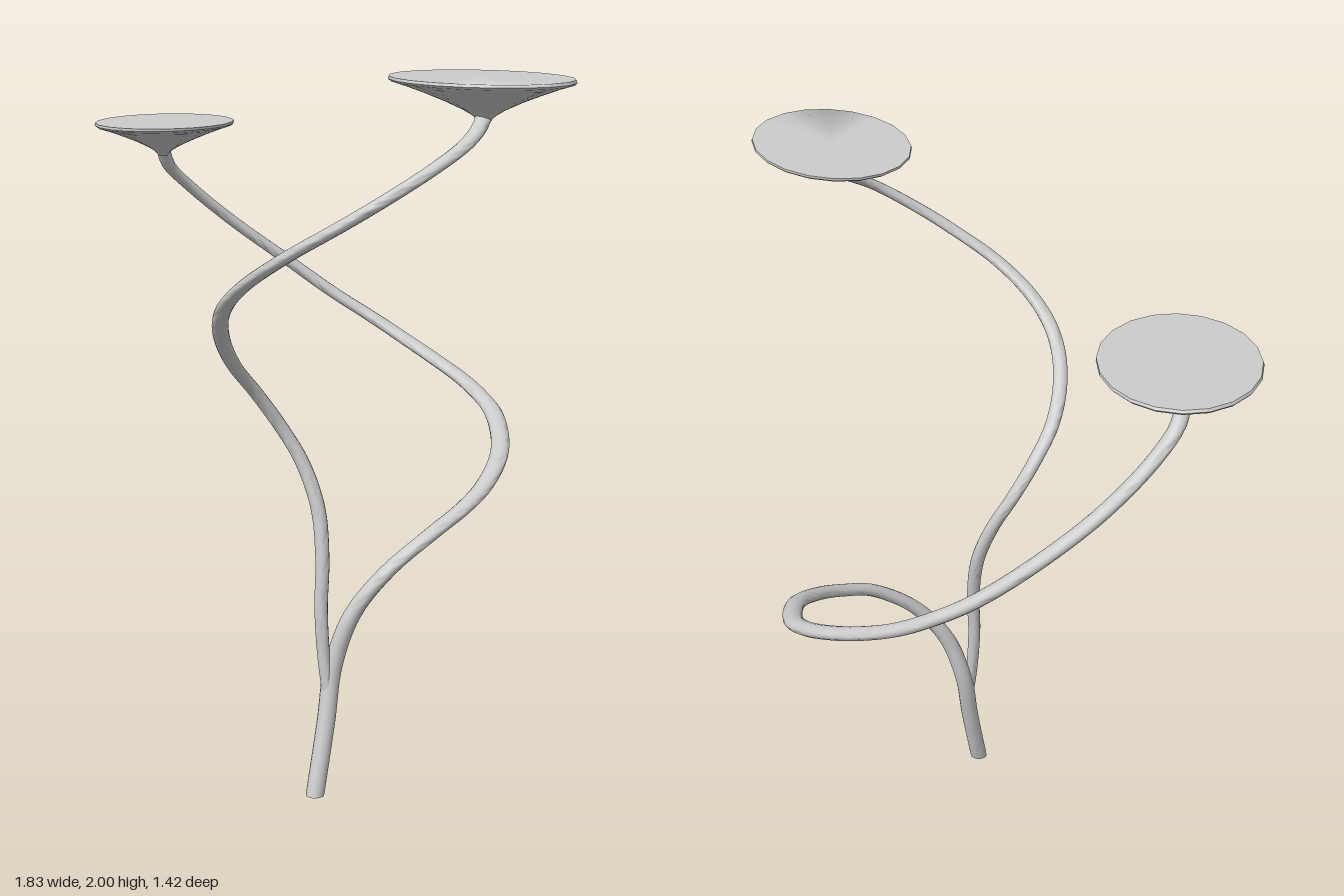
import * as THREE from 'three';
import { toCreasedNormals } from 'three/addons/utils/BufferGeometryUtils.js';

const material = new THREE.MeshStandardMaterial({ color: 0xcccccc });

// Tendril swept along a smooth curve, flattened vertically; radii are spread along its length
function tendril(name, points, radii) {
  const n = 120, sides = 14;
  const curve = new THREE.CatmullRomCurve3(points.map(p => new THREE.Vector3(...p)), false, 'centripetal');
  const { normals, binormals } = curve.computeFrenetFrames(n);
  const geo = new THREE.TubeGeometry(curve, n, 1, sides);
  const pos = geo.attributes.position;
  const off = new THREE.Vector3();
  for (let i = 0; i <= n; i++) {
    const c = curve.getPointAt(i / n);
    const t = (i / n) * (radii.length - 1);
    const k = Math.min(Math.floor(t), radii.length - 2);
    const r = THREE.MathUtils.lerp(radii[k], radii[k + 1], t - k);
    for (let j = 0; j <= sides; j++) {
      const a = (j / sides) * Math.PI * 2;
      off.set(0, 0, 0)
        .addScaledVector(normals[i], -Math.cos(a) * r)
        .addScaledVector(binormals[i], Math.sin(a) * r);
      off.y *= i === 0 ? 0 : 0.6; // first ring is cut level
      pos.setXYZ(i * (sides + 1) + j, c.x + off.x, c.y + off.y, c.z + off.z);
    }
  }
  const mesh = new THREE.Mesh(toCreasedNormals(geo, 1.2), material);
  mesh.name = name;
  return mesh;
}

// Flat-topped oval cap with a flared underside leaning towards its stem
function cap(name, [x, y, z], [a, b], angle, [nx, nz]) {
  const profile = [
    [0.06, -0.108], [0.085, -0.1], [0.13, -0.091], [0.22, -0.079], [0.4, -0.06],
    [0.62, -0.04], [0.84, -0.022], [0.97, -0.013], [1, -0.007], [0.992, 0], [0, 0],
  ].map(p => new THREE.Vector2(...p));
  const geo = new THREE.LatheGeometry(profile, 20);
  geo.scale(a, 1, b).rotateY(-angle);
  const pos = geo.attributes.position;
  for (let i = 0; i < pos.count; i++) {
    const h = Math.min(1, -pos.getY(i) / 0.1);
    pos.setX(i, pos.getX(i) + h * (nx - x));
    pos.setZ(i, pos.getZ(i) + h * (nz - z));
  }
  const mesh = new THREE.Mesh(toCreasedNormals(geo, 0.9), material);
  mesh.position.set(x, y, z);
  mesh.name = name;
  return mesh;
}

export function createModel() {
  const group = new THREE.Group();
  group.name = 'twinTendrilPlant';

  // main stem, sweeping round the back to the lower cap
  group.add(tendril('mainStem', [
    [0.165, 0, 0.335], [0.165, 0.2, 0.275], [0.167, 0.35, 0.24], [0.21, 0.5, 0.21],
    [0.285, 0.62, 0.15], [0.365, 0.715, 0.04], [0.402, 0.767, -0.08], [0.412, 0.81, -0.19],
    [0.38, 0.872, -0.35], [0.27, 0.938, -0.53], [0.19, 0.974, -0.595], [0.1, 1.012, -0.639],
    [-0.02, 1.06, -0.671], [-0.15, 1.118, -0.686], [-0.25, 1.172, -0.676], [-0.36, 1.24, -0.64],
    [-0.5, 1.355, -0.56], [-0.62, 1.475, -0.45], [-0.7, 1.59, -0.335], [-0.725, 1.66, -0.26],
    [-0.717, 1.72, -0.218],
  ], [0.026, 0.026, 0.028, 0.025, 0.021]));

  // side stem, emerging from the main stem and curling round the front to the upper cap
  group.add(tendril('sideStem', [
    [0.165, 0.27, 0.262], [0.15, 0.38, 0.262], [0.14, 0.52, 0.26], [0.135, 0.66, 0.245],
    [0.11, 0.8, 0.228], [0.06, 0.925, 0.23], [0.01, 1.02, 0.255], [-0.03, 1.125, 0.32],
    [-0.043, 1.217, 0.41], [-0.015, 1.315, 0.51], [0.05, 1.4, 0.598], [0.15, 1.478, 0.66],
    [0.29, 1.564, 0.687], [0.45, 1.658, 0.66], [0.55, 1.725, 0.615], [0.635, 1.795, 0.54],
    [0.67, 1.85, 0.44], [0.667, 1.895, 0.36], [0.66, 1.925, 0.335],
  ], [0.017, 0.021, 0.022, 0.022, 0.021]));

  // level foot closing the main stem
  const foot = new THREE.Mesh(new THREE.CircleGeometry(0.026, 14), material);
  foot.rotation.x = Math.PI / 2;
  foot.position.set(0.165, 0, 0.335);
  foot.name = 'stemFoot';
  group.add(foot);

  group.add(cap('lowerCap', [-0.692, 1.8, -0.198], [0.294, 0.208], 1.13, [-0.717, -0.22]));
  group.add(cap('upperCap', [0.63, 2, 0.298], [0.324, 0.223], 0.76, [0.663, 0.34]));
  return group;
}
